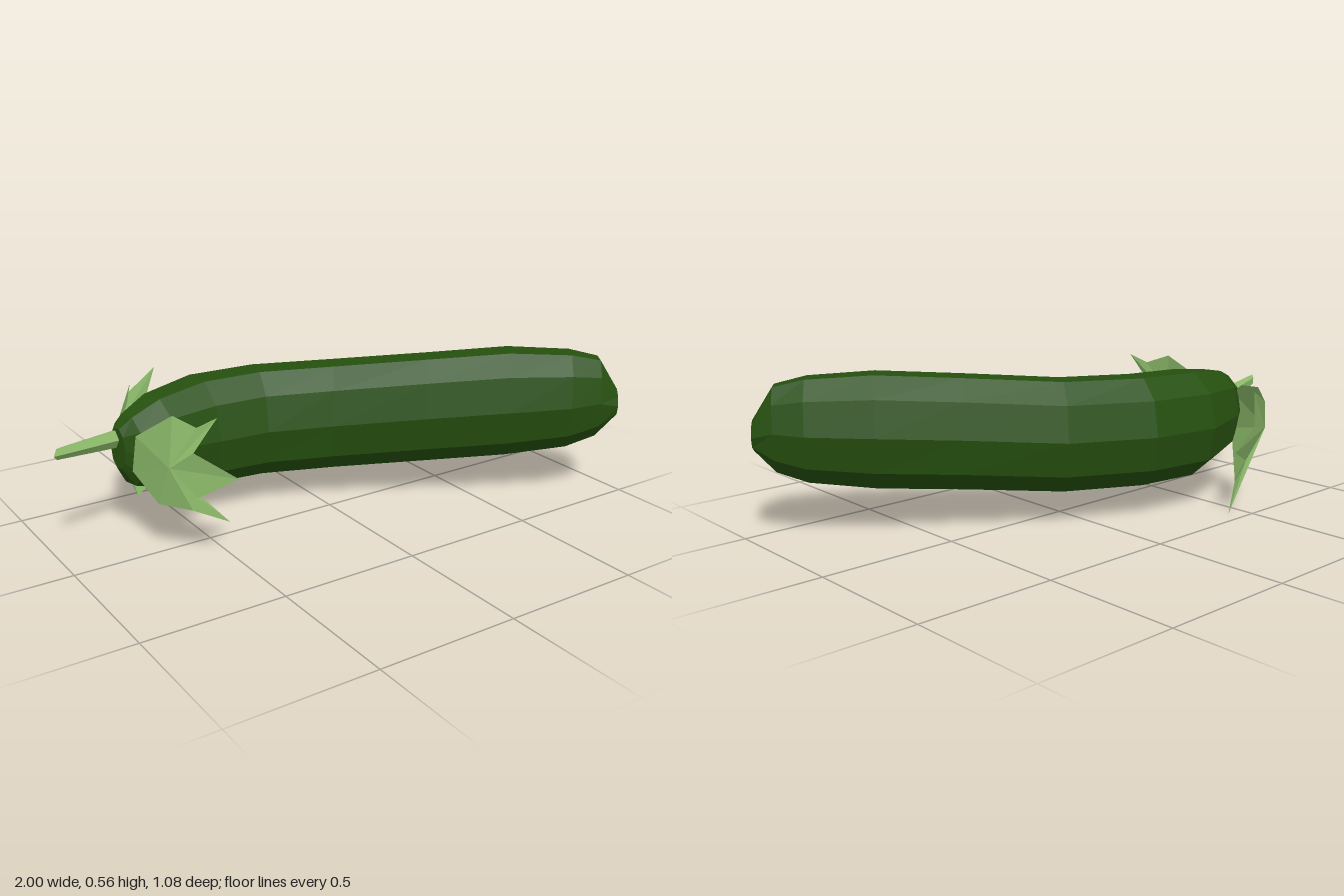
import * as THREE from 'three';

const material = (color, side = THREE.FrontSide) =>
  new THREE.MeshStandardMaterial({ color, side, flatShading: true });

function build(name, points, index, mat) {
  const g = new THREE.BufferGeometry();
  g.setAttribute('position', new THREE.Float32BufferAttribute(points.flat(), 3));
  g.setIndex(index);
  const flat = g.toNonIndexed();
  flat.computeVertexNormals();
  const mesh = new THREE.Mesh(flat, mat);
  mesh.name = name;
  return mesh;
}

// Closed loft along +x. Station: back x, back z, front x, front z, bottom y, top y
function loft(name, stations, sides, fullness, mat) {
  const points = [], index = [];
  const soften = v => Math.sign(v) * Math.abs(v) ** fullness;
  for (const [bx, bz, fx, fz, lo, hi] of stations) {
    for (let k = 0; k < sides; k++) {
      const a = (k / sides) * Math.PI * 2;
      const c = soften(Math.cos(a)), s = soften(Math.sin(a));
      points.push([
        (bx + fx) / 2 + c * (fx - bx) / 2,
        (lo + hi) / 2 + s * (hi - lo) / 2,
        (bz + fz) / 2 + c * (fz - bz) / 2
      ]);
    }
  }
  const last = (stations.length - 1) * sides;
  for (let k = 0; k < sides; k++) {
    const n = (k + 1) % sides;
    for (let r = 0; r < last; r += sides)
      index.push(r + k, r + sides + k, r + sides + n, r + k, r + sides + n, r + n);
    // End caps
    if (k > 0 && k < sides - 1) index.push(0, k, n, last, last + n, last + k);
  }
  return build(name, points, index, mat);
}

// Ragged leaf: a fan of facets from a raised centre to a jagged rim
function leaf(name, centre, rim, mat) {
  const index = [];
  rim.forEach((_, i) => index.push(0, i + 1, ((i + 1) % rim.length) + 1));
  return build(name, [centre, ...rim], index, mat);
}

export function createModel() {
  const group = new THREE.Group();
  group.name = 'cucumber';
  const skin = material(0x26500f);
  const green = material(0x8cba6a);
  const leafGreen = material(0x8cba6a, THREE.DoubleSide);

  // Curved fruit body
  group.add(loft('body', [
    [-0.76, -0.20, -0.74, -0.13, 0.26, 0.41],
    [-0.73, -0.25, -0.69, -0.085, 0.19, 0.45],
    [-0.63, -0.32, -0.57, -0.08, 0.15, 0.49],
    [-0.42, -0.38, -0.40, -0.08, 0.11, 0.515],
    [-0.15, -0.345, -0.22, -0.06, 0.11, 0.52],
    [0.15, -0.21, 0.00, 0.03, 0.115, 0.525],
    [0.45, -0.01, 0.28, 0.21, 0.14, 0.55],
    [0.70, 0.14, 0.53, 0.37, 0.16, 0.57],
    [0.88, 0.28, 0.73, 0.48, 0.19, 0.56],
    [0.95, 0.36, 0.84, 0.515, 0.23, 0.535],
    [0.995, 0.42, 0.91, 0.535, 0.31, 0.42]
  ], 10, 0.92, skin));

  // Tapered stem with a slanted cut
  group.add(loft('stem', [
    [-0.955, -0.135, -1.0, -0.09, 0.365, 0.405],
    [-0.72, -0.22, -0.73, -0.16, 0.33, 0.40]
  ], 5, 1, green));

  // Leaf behind the fruit, three spikes
  group.add(leaf('backLeaf', [-0.65, 0.29, -0.43], [
    [-0.715, 0.24, -0.22], [-0.62, 0.07, -0.32], [-0.53, 0.09, -0.39],
    [-0.43, 0.00, -0.445], [-0.54, 0.18, -0.43], [-0.35, 0.26, -0.53],
    [-0.52, 0.32, -0.48], [-0.43, 0.47, -0.54], [-0.56, 0.41, -0.49],
    [-0.57, 0.455, -0.45], [-0.64, 0.435, -0.32], [-0.72, 0.38, -0.22]
  ], leafGreen));

  // Leaf in front of the fruit, three spikes
  group.add(leaf('frontLeaf', [-0.68, 0.33, 0.08], [
    [-0.73, 0.27, -0.10], [-0.70, 0.19, 0.03], [-0.62, 0.18, 0.12],
    [-0.51, 0.13, 0.17], [-0.61, 0.23, 0.14], [-0.50, 0.30, 0.22],
    [-0.62, 0.39, 0.14], [-0.545, 0.505, 0.17], [-0.60, 0.47, 0.13],
    [-0.65, 0.50, 0.06], [-0.72, 0.40, -0.08]
  ], leafGreen));

  return group;
}
